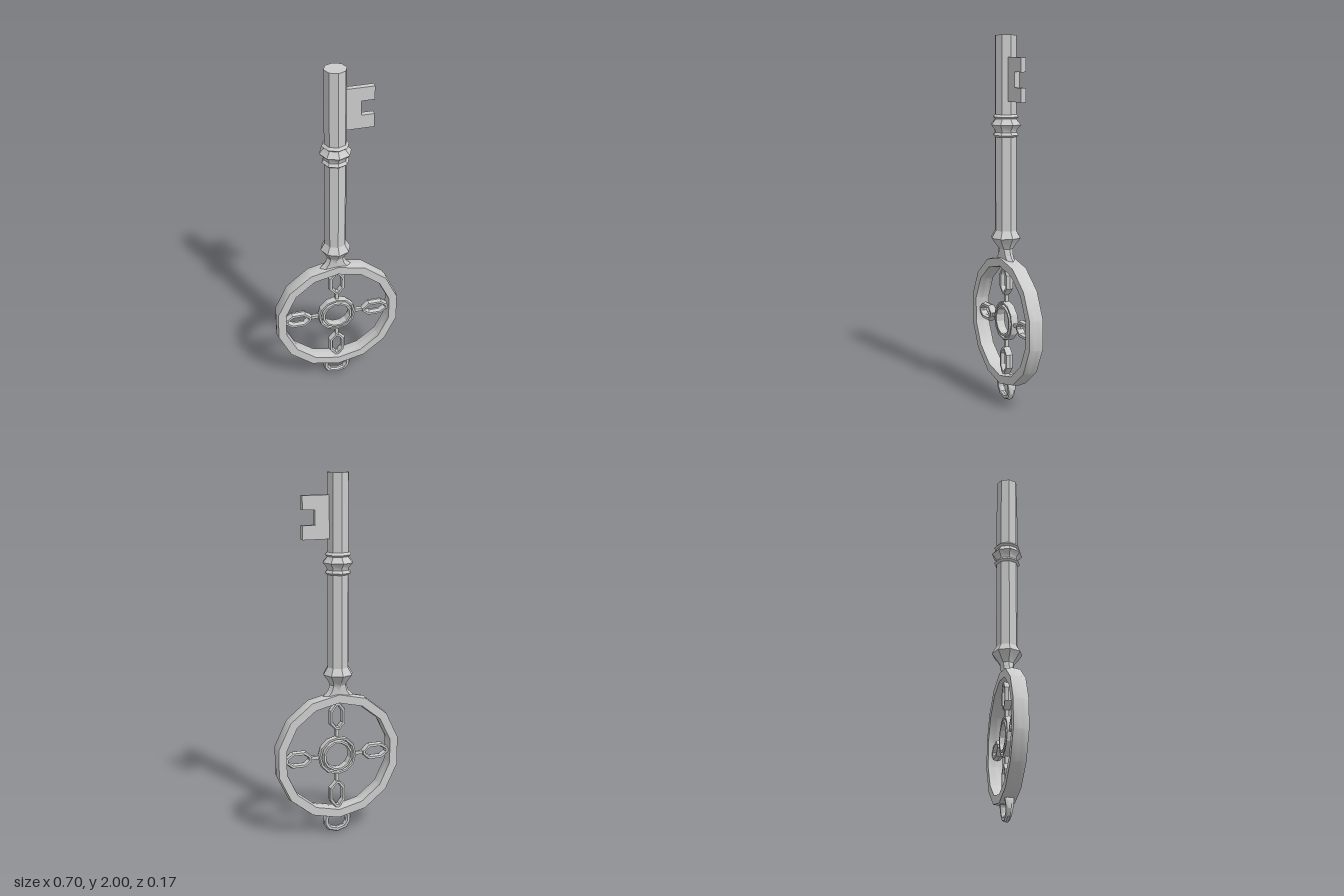
import * as THREE from 'three';
import { toCreasedNormals } from 'three/addons/utils/BufferGeometryUtils.js';

const material = new THREE.MeshStandardMaterial({ color: 0xcccccc, side: THREE.DoubleSide });
const CENTER_Y = 0.455;

function part(name, geometry, parent) {
  const mesh = new THREE.Mesh(toCreasedNormals(geometry, 0.5), material);
  mesh.name = name;
  parent.add(mesh);
  return mesh;
}

// Regular polygon, counter-clockwise, starting from the top
function polygon(n, r, turn = 0) {
  return Array.from({ length: n }, (_, i) => {
    const a = Math.PI / 2 + turn + (i / n) * Math.PI * 2;
    return [Math.cos(a) * r, Math.sin(a) * r];
  });
}

// Closed frame between two matching outlines; section points are [0 inner .. 1 outer, z]
function frame(inner, outer, section) {
  const n = inner.length, m = section.length, pos = [], index = [];
  for (let i = 0; i < n; i++) {
    for (const [t, z] of section) {
      pos.push(
        inner[i][0] + (outer[i][0] - inner[i][0]) * t,
        inner[i][1] + (outer[i][1] - inner[i][1]) * t, z);
    }
  }
  for (let i = 0; i < n; i++) {
    for (let j = 0; j < m; j++) {
      const i2 = (i + 1) % n, j2 = (j + 1) % m;
      const a = i * m + j, b = i2 * m + j, c = i2 * m + j2, d = i * m + j2;
      index.push(a, b, c, a, c, d);
    }
  }
  const g = new THREE.BufferGeometry();
  g.setAttribute('position', new THREE.Float32BufferAttribute(pos, 3));
  g.setIndex(index);
  return g;
}

// Six-sided section with a ridge on the inner and outer wall
const ridged = (depth, bevel) => [
  [1 - bevel, -depth], [1, 0], [1 - bevel, depth],
  [bevel, depth], [0, 0], [bevel, -depth],
];

export function createModel() {
  const key = new THREE.Group();
  key.name = 'key';

  // Octagonal shaft with flared neck, lower collar and triple-ridged upper collar
  const profile = [
    [0.09, 0.795], [0.06, 0.825], [0.047, 0.86], [0.058, 0.885], [0.084, 0.92],
    [0.06, 0.96], [0.06, 1.465], [0.073, 1.475], [0.061, 1.49], [0.064, 1.505],
    [0.086, 1.53], [0.064, 1.555], [0.061, 1.562], [0.073, 1.572], [0.06, 1.585],
    [0.06, 2], [0, 2],
  ].map(([r, y]) => new THREE.Vector2(r, y));
  const shaftGeo = new THREE.LatheGeometry(profile, 8);
  const p = shaftGeo.attributes.position;
  for (let i = 0; i < p.count; i++) {
    // The neck flattens towards the ring
    const k = THREE.MathUtils.clamp((0.885 - p.getY(i)) / 0.09, 0, 1);
    p.setZ(i, p.getZ(i) * (1 - 0.64 * k));
  }
  part('shaft', shaftGeo, key).position.x = -0.006;

  // Notched bit
  const bit = new THREE.Shape([
    [0.03, 1.655], [0.195, 1.655], [0.195, 1.73], [0.125, 1.73],
    [0.125, 1.81], [0.195, 1.81], [0.195, 1.885], [0.03, 1.885],
  ].map(([x, y]) => new THREE.Vector2(x, y)));
  const bitGeo = new THREE.ExtrudeGeometry(bit, { depth: 0.03, bevelEnabled: false });
  part('bit', bitGeo.translate(0, 0, -0.015), key);

  // Bow: large ring with a small double ring at its middle
  const bow = new THREE.Group();
  bow.name = 'bow';
  bow.position.y = CENTER_Y;
  key.add(bow);
  part('outerRing', frame(polygon(14, 0.303), polygon(14, 0.361), ridged(0.04, 0.1)), bow);
  part('middleRing', frame(polygon(12, 0.091), polygon(12, 0.112), ridged(0.02, 0.25)), bow);
  part('centerRing',
    frame(polygon(12, 0.068, Math.PI / 12), polygon(12, 0.09, Math.PI / 12), ridged(0.024, 0.25)), bow);

  // Four spokes, each a thin bar and an elongated link
  const linkOuter = [
    [0.01, 0.145], [0.048, 0.185], [0.048, 0.262], [0.01, 0.308],
    [-0.01, 0.308], [-0.048, 0.262], [-0.048, 0.185], [-0.01, 0.145],
  ];
  const linkInner = [
    [0.006, 0.17], [0.022, 0.193], [0.022, 0.254], [0.006, 0.281],
    [-0.006, 0.281], [-0.022, 0.254], [-0.022, 0.193], [-0.006, 0.17],
  ];
  for (let i = 0; i < 4; i++) {
    const spoke = new THREE.Group();
    spoke.name = 'spoke';
    spoke.rotation.z = (i * Math.PI) / 2;
    bow.add(spoke);
    part('spokeLink', frame(linkInner, linkOuter, ridged(0.019, 0.25)), spoke);
    part('spokeBar', new THREE.BoxGeometry(0.018, 0.055, 0.02).translate(0, 0.13, 0), spoke);
  }

  // Hanging loop below the bow, thicker where it joins
  const loopOuter = [
    [-0.066, 0.125], [-0.079, 0.095], [-0.077, 0.055], [-0.055, 0.02], [0, 0.003],
    [0.055, 0.02], [0.077, 0.055], [0.079, 0.095], [0.066, 0.125],
  ];
  const loopInner = [
    [-0.035, 0.118], [-0.05, 0.093], [-0.05, 0.065], [-0.036, 0.043], [0, 0.034],
    [0.036, 0.043], [0.05, 0.065], [0.05, 0.093], [0.035, 0.118],
  ];
  const loopGeo = frame(loopInner, loopOuter, [
    [0.75, -0.016], [1, -0.006], [1, 0.006], [0.75, 0.016],
    [0.25, 0.016], [0, 0.006], [0, -0.006], [0.25, -0.016],
  ]);
  const q = loopGeo.attributes.position;
  for (let i = 0; i < q.count; i++) q.setZ(i, q.getZ(i) * (0.8 + 6 * q.getY(i)));
  part('hangingLoop', loopGeo, key);

  // Rest exactly on the ground
  const box = new THREE.Box3().setFromObject(key);
  key.position.y = -box.min.y;
  return key;
}
